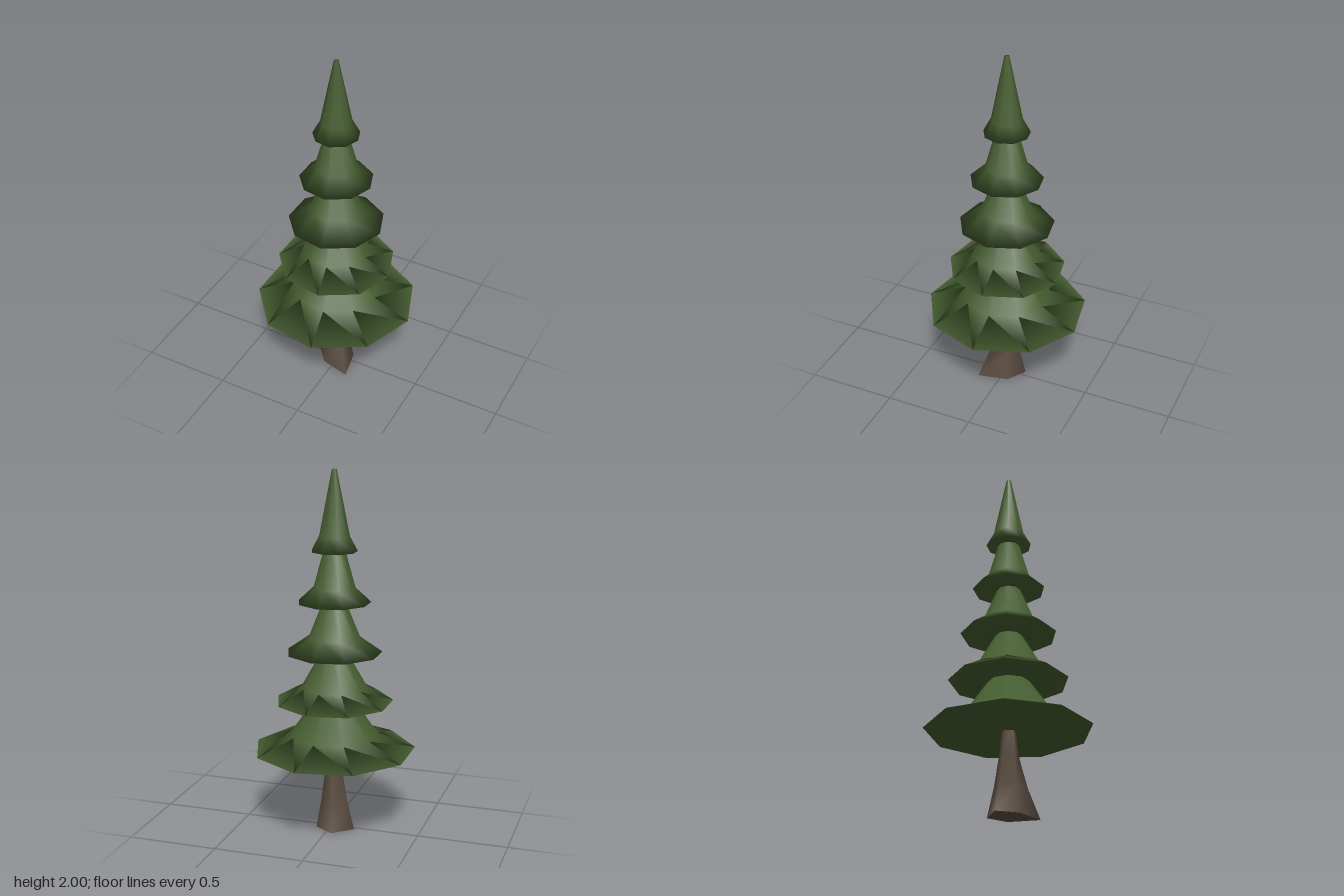
import * as THREE from 'three';
import { mergeVertices } from 'three/addons/utils/BufferGeometryUtils.js';

const AXIS_X = -0.015;

// Nine-sided skirt of foliage: underside, rim, bend, then a narrowing neck
function makeTier({ y, rim, bendY, bend, topY, top }, material) {
  const profile = [
    [0, y - 0.008], [rim, y], [bend, bendY], [top, topY], [0, topY],
  ].map(([r, h]) => new THREE.Vector2(r, h));
  return new THREE.Mesh(new THREE.LatheGeometry(profile, 9, Math.PI / 2), material);
}

// Five-sided trunk with uneven root flare that evens out higher up
function makeTrunk(material) {
  const roots = [0.175, 0.1, 0.115, 0.125, 0.09];
  const rings = [
    { y: 0, flare: 1, r: 0 },
    { y: 0.16, flare: 0.45, r: 0.027 },
    { y: 0.33, flare: 0.06, r: 0.045 },
    { y: 0.5, flare: 0, r: 0.036 },
  ];
  const start = Math.PI / 4;
  const step = (Math.PI * 2) / 5;
  let geometry = new THREE.CylinderGeometry(1, 1, 3, 5, 3, false, start);
  const p = geometry.attributes.position;
  for (let i = 0; i < p.count; i++) {
    const x = p.getX(i), z = p.getZ(i);
    const ring = rings[Math.round(p.getY(i) + 1.5)];
    const side = (Math.round((Math.atan2(x, z) - start) / step) + 10) % 5;
    const r = roots[side] * ring.flare + ring.r;
    p.setXYZ(i, x * r, ring.y, z * r);
  }
  geometry.deleteAttribute('uv');
  geometry = mergeVertices(geometry);
  geometry.computeVertexNormals();
  return new THREE.Mesh(geometry, material);
}

export function createModel() {
  const needleGreen = new THREE.MeshStandardMaterial({ color: 0x455c30 });
  needleGreen.name = 'needleGreen';
  const barkBrown = new THREE.MeshStandardMaterial({ color: 0x5a4c41 });
  barkBrown.name = 'barkBrown';

  const tree = new THREE.Group();
  tree.name = 'pineTree';

  const trunk = makeTrunk(barkBrown);
  trunk.name = 'trunk';
  trunk.position.x = AXIS_X;
  tree.add(trunk);

  // Foliage tiers from the bottom up
  const tiers = [
    { y: 0.463, rim: 0.45, bendY: 0.55, bend: 0.24, topY: 0.76, top: 0.095 },
    { y: 0.738, rim: 0.325, bendY: 0.82, bend: 0.18, topY: 1.03, top: 0.06 },
    { y: 1.013, rim: 0.263, bendY: 1.1, bend: 0.14, topY: 1.31, top: 0.055 },
    { y: 1.29, rim: 0.2, bendY: 1.37, bend: 0.115, topY: 1.585, top: 0.055 },
    { y: 1.567, rim: 0.126, bendY: 1.645, bend: 0.084, topY: 2, top: 0.013 },
  ];
  tiers.forEach((spec, i) => {
    const tier = makeTier(spec, needleGreen);
    tier.name = `foliageTier${i + 1}`;
    tier.position.x = AXIS_X;
    tree.add(tier);
  });
  return tree;
}
